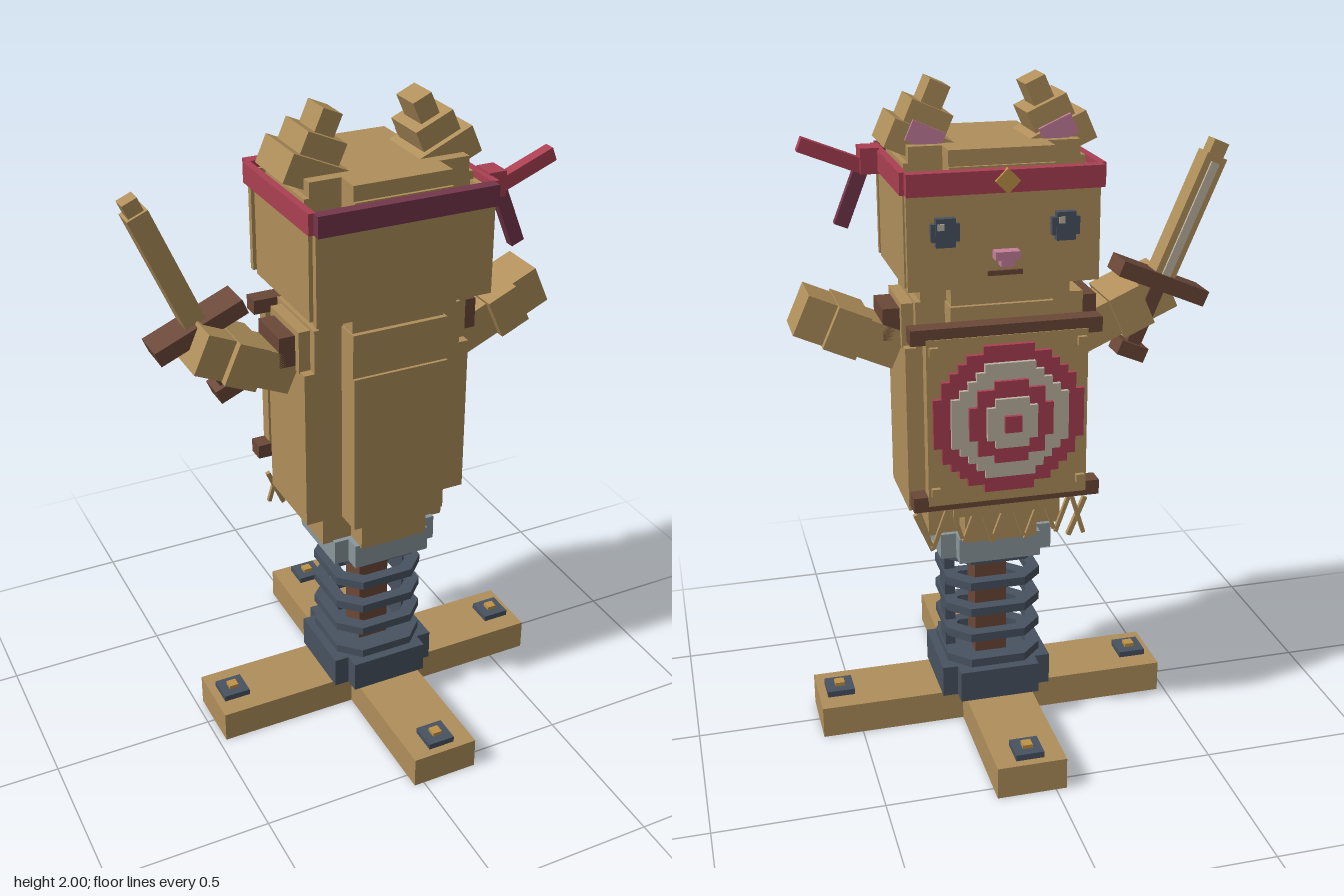
import * as THREE from 'three';
import { mergeGeometries } from 'three/addons/utils/BufferGeometryUtils.js';

const COLORS = { wood: 0xb08f5b, brown: 0x6b4838, iron: 0x485260, steel: 0x8a979d, red: 0xaa4052,
  maroon: 0x74364a, pink: 0xc47f9b, cream: 0xbcb3a2, gold: 0xbf9146 };

export function createModel() {
  const root = new THREE.Group();
  root.name = 'trainingDummy';
  const body = new THREE.Group();
  body.name = 'dummy';
  body.position.x = 0.073;
  root.add(body);

  const M = {};
  for (const [name, color] of Object.entries(COLORS)) {
    M[name] = new THREE.MeshStandardMaterial({ color });
    M[name].name = name;
  }

  // Box from centre and size, optionally tilted about z
  function box(name, mat, x, y, z, w, h, d, tilt = 0, parent = body) {
    const m = new THREE.Mesh(new THREE.BoxGeometry(w, h, d), M[mat]);
    m.name = name;
    m.position.set(x, y, z);
    m.rotation.z = tilt;
    parent.add(m);
    return m;
  }
  // Cross-shaped block: a wide arm (ax, az) and a deep arm (bx, bz), all half sizes
  function cross(name, mat, y0, y1, ax, az, bx, bz) {
    const s = new THREE.Shape();
    [[ax, -az], [ax, az], [bx, az], [bx, bz], [-bx, bz], [-bx, az],
      [-ax, az], [-ax, -az], [-bx, -az], [-bx, -bz], [bx, -bz], [bx, -az]]
      .forEach(([x, z], i) => (i ? s.lineTo(x, z) : s.moveTo(x, z)));
    const g = new THREE.ExtrudeGeometry(s, { depth: y1 - y0, bevelEnabled: false });
    g.rotateX(-Math.PI / 2);
    const m = new THREE.Mesh(g, M[mat]);
    m.name = name;
    m.position.y = y0;
    body.add(m);
  }

  // Crossed base planks with bolts
  box('basePlankSide', 'wood', 0, 0.05, 0, 1.1, 0.1, 0.21);
  for (const s of [-1, 1]) box('basePlankFront', 'wood', 0, 0.05, s * 0.3275, 0.21, 0.1, 0.445);
  for (const [x, z] of [[-0.482, 0], [0.482, 0], [0, -0.482], [0, 0.482]]) {
    box('boltPlate', 'iron', x, 0.109, z, 0.085, 0.02, 0.085);
    box('boltHead', 'gold', x, 0.122, z, 0.03, 0.018, 0.03);
  }

  // Spring mount, post and rings
  cross('springMount', 'iron', 0.1, 0.2, 0.172, 0.125, 0.125, 0.172);
  box('post', 'brown', 0, 0.39, 0, 0.1, 0.38, 0.1);
  box('springRod', 'iron', 0.127, 0.39, 0, 0.032, 0.38, 0.07);
  const octagon = (path, r, c) => {
    [[r, -c], [r, c], [c, r], [-c, r], [-r, c], [-r, -c], [-c, -r], [c, -r]]
      .forEach(([x, y], i) => (i ? path.lineTo(x, y) : path.moveTo(x, y)));
    path.closePath();
    return path;
  };
  const ringShape = octagon(new THREE.Shape(), 0.148, 0.085);
  ringShape.holes.push(octagon(new THREE.Path(), 0.112, 0.064));
  const ringGeo = new THREE.ExtrudeGeometry(ringShape, { depth: 0.027, bevelEnabled: false });
  ringGeo.rotateX(-Math.PI / 2);
  for (let i = 0; i < 5; i++) {
    const ring = new THREE.Mesh(ringGeo, M.iron);
    ring.name = 'springRing';
    ring.position.y = 0.203 + i * 0.089;
    body.add(ring);
  }
  cross('collar', 'steel', 0.58, 0.66, 0.172, 0.125, 0.125, 0.172);

  // Torso
  cross('skirt', 'wood', 0.655, 0.77, 0.205, 0.11, 0.11, 0.185);
  cross('torso', 'wood', 0.755, 1.26, 0.267, 0.13, 0.15, 0.215);
  cross('chest', 'wood', 1.26, 1.395, 0.235, 0.13, 0.15, 0.205);
  cross('neck', 'wood', 1.395, 1.455, 0.22, 0.13, 0.145, 0.19);

  // Straw fringe below the target board
  for (let i = 0; i < 11; i++) {
    const x = -0.235 + i * 0.047;
    box('straw', 'wood', x, 0.715 + (i % 3) * 0.012, -0.195, 0.012, 0.13, 0.012, (i % 2 ? 0.35 : -0.3));
  }
  for (const s of [-1, 1]) box('looseStraw', 'wood', s * 0.235, 0.705, -0.185, 0.014, 0.13, 0.014, s * -0.4);

  // Target board, cross bars and pegs
  box('targetBoard', 'wood', 0, 1.075, -0.247, 0.47, 0.5, 0.045);
  for (const y of [0.83, 1.333]) {
    box('boardBar', 'brown', 0, y, -0.238, 0.555, 0.045, 0.056);
    for (const s of [-1, 1]) box('peg', 'wood', s * 0.215, y + (y < 1 ? 0.04 : -0.04), -0.274, 0.025, 0.025, 0.02);
  }

  // Stepped target discs, each built from rows of blocks
  function disc(mat, r, z0, z1) {
    const cell = 0.0245, rows = Math.max(1, Math.round(r / cell));
    const parts = [];
    for (let i = -rows; i < rows; i++) {
      const y = (i + 0.5) * cell, R = rows * cell;
      const half = Math.max(1, Math.round(Math.sqrt(R * R - y * y) / cell)) * cell;
      const g = new THREE.BoxGeometry(half * 2, cell, z0 - z1);
      g.translate(0, y, 0);
      parts.push(g);
    }
    const m = new THREE.Mesh(mergeGeometries(parts), M[mat]);
    m.name = 'targetRing';
    m.position.set(0, 1.08, (z0 + z1) / 2);
    body.add(m);
  }
  [['red', 0.22, 0.285], ['cream', 0.172, 0.298], ['red', 0.122, 0.31], ['cream', 0.074, 0.322], ['red', 0.025, 0.334]]
    .forEach(([mat, r, z]) => disc(mat, r, -0.265, -z));

  // Head: core, outer panels and crown
  cross('headCore', 'wood', 1.455, 1.79, 0.26, 0.13, 0.15, 0.215);
  for (const s of [-1, 1]) {
    box('headPanel', 'wood', 0, 1.61, s * 0.222, 0.548, 0.31, 0.02);
    box('headSidePanel', 'wood', s * 0.262, 1.61, 0, 0.024, 0.31, 0.37);
  }
  cross('crown', 'wood', 1.785, 1.835, 0.245, 0.13, 0.15, 0.205);

  // Headband with knot, tails and buckle
  box('bandFront', 'red', 0, 1.755, -0.242, 0.555, 0.062, 0.038);
  box('bandBack', 'maroon', 0, 1.755, 0.233, 0.55, 0.062, 0.036);
  for (const s of [-1, 1]) box('bandSide', 'red', s * 0.279, 1.755, -0.003, 0.022, 0.062, 0.45);
  box('bandKnot', 'red', 0.312, 1.755, 0.14, 0.055, 0.075, 0.075);
  box('bandTailUpper', 'red', 0.42, 1.772, 0.137, 0.195, 0.042, 0.036, 0.38);
  box('bandTailLower', 'maroon', 0.365, 1.643, 0.152, 0.042, 0.175, 0.03, 0.38);
  box('buckle', 'gold', 0, 1.757, -0.263, 0.05, 0.05, 0.016, Math.PI / 4);

  // Face
  for (const s of [-1, 1]) {
    box('eye', 'iron', s * 0.17, 1.62, -0.243, 0.055, 0.08, 0.024);
    box('eyeOuter', 'iron', s * 0.17, 1.62, -0.241, 0.08, 0.05, 0.02);
    box('eyeShine', 'cream', s * 0.17 + 0.014, 1.638, -0.257, 0.018, 0.018, 0.006);
  }
  box('noseTop', 'pink', 0, 1.55, -0.25, 0.07, 0.024, 0.04);
  box('noseTip', 'pink', 0, 1.53, -0.248, 0.036, 0.024, 0.034);
  box('mouth', 'brown', 0, 1.496, -0.235, 0.1, 0.014, 0.012);

  // Ears and arms, mirrored
  const tilt = 0.42;
  for (const s of [-1, 1]) {
    box('earBase', 'wood', s * 0.206, 1.832, 0, 0.18, 0.085, 0.19, s * tilt);
    box('earMiddle', 'wood', s * 0.177, 1.895, 0, 0.125, 0.075, 0.15, s * tilt);
    box('earTip', 'wood', s * 0.15, 1.957, 0, 0.062, 0.075, 0.1, s * tilt);
    box('earInner', 'pink', s * 0.19, 1.855, -0.099, 0.1, 0.06, 0.01, s * tilt);

    box('shoulder', 'wood', s * 0.245, 1.32, 0, 0.05, 0.13, 0.2);
    box('shoulderStrap', 'brown', s * 0.292, 1.318, 0, 0.055, 0.095, 0.15);
    box('upperArm', 'wood', s * 0.342, 1.268, 0, 0.15, 0.115, 0.15, s * tilt);
    box('forearm', 'wood', s * 0.425, 1.308, 0, 0.1, 0.13, 0.2, s * tilt);
    box('hand', 'wood', s * 0.51, 1.346, 0, 0.09, 0.125, 0.15, s * tilt);
  }

  // Wooden sword, built upright about its guard
  const sword = new THREE.Group();
  sword.name = 'sword';
  sword.position.set(-0.518, 1.39, -0.06);
  sword.rotation.z = 0.4;
  body.add(sword);
  box('swordBlade', 'wood', 0, 0.2, 0, 0.066, 0.4, 0.07, 0, sword);
  box('swordTip', 'wood', 0, 0.42, 0, 0.048, 0.045, 0.05, 0, sword);
  box('swordEdge', 'cream', 0, 0.2, -0.039, 0.026, 0.36, 0.008, 0, sword);
  box('swordGuard', 'brown', 0, 0, 0, 0.29, 0.048, 0.11, 0, sword).rotation.z = 0;
  box('swordGrip', 'brown', 0, -0.11, 0, 0.045, 0.2, 0.045, 0, sword);
  box('swordPommel', 'brown', 0, -0.225, 0, 0.09, 0.045, 0.08, 0, sword);
  return root;
}
